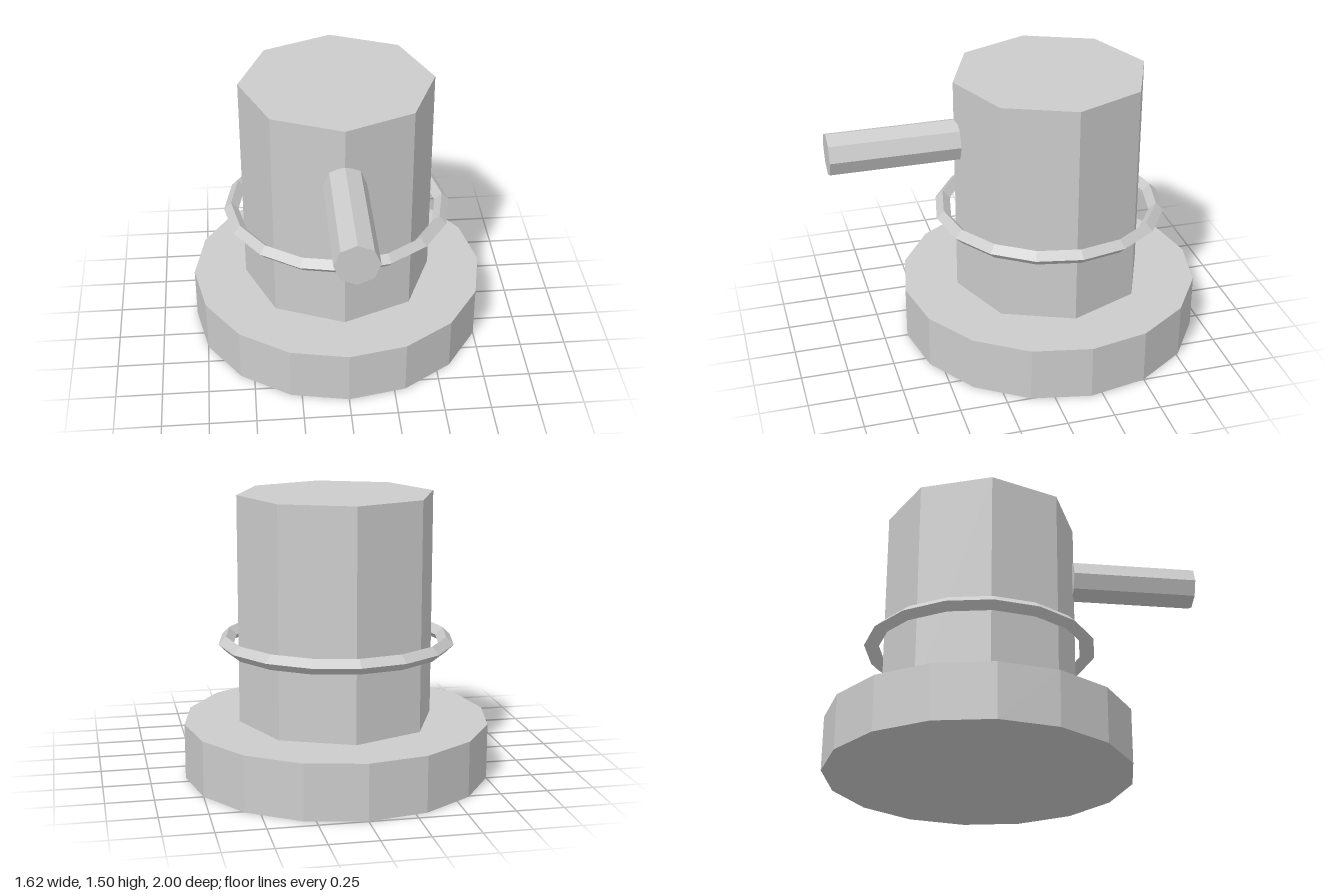
import * as THREE from 'three';

const material = new THREE.MeshStandardMaterial({ color: 0xcccccc, flatShading: true });

export function createModel() {
  const model = new THREE.Group();
  const add = (name, geometry, y, z) => {
    const mesh = new THREE.Mesh(geometry, material);
    mesh.name = name;
    mesh.position.set(0, y, z);
    model.add(mesh);
  };

  const axisZ = -0.188; // shared vertical axis of base, body and ring
  const baseHeight = 0.295;
  const bodyHeight = 1.203;

  // Wide sixteen-sided foot
  add('base', new THREE.CylinderGeometry(0.812, 0.812, baseHeight, 16), baseHeight / 2, axisZ);

  // Octagonal column
  add('body', new THREE.CylinderGeometry(0.52, 0.52, bodyHeight, 8), baseHeight + bodyHeight / 2, axisZ);

  // Loose ring with a diamond cross-section
  add('ring', new THREE.TorusGeometry(0.585, 0.04, 4, 16).rotateX(Math.PI / 2), 0.718, axisZ);

  // Octagonal spout pointing forward
  const spoutBack = 0.318;
  const spoutLength = 1 - spoutBack;
  add('spout', new THREE.CylinderGeometry(0.113, 0.113, spoutLength, 8).rotateX(Math.PI / 2),
    1.175, spoutBack + spoutLength / 2);

  return model;
}
